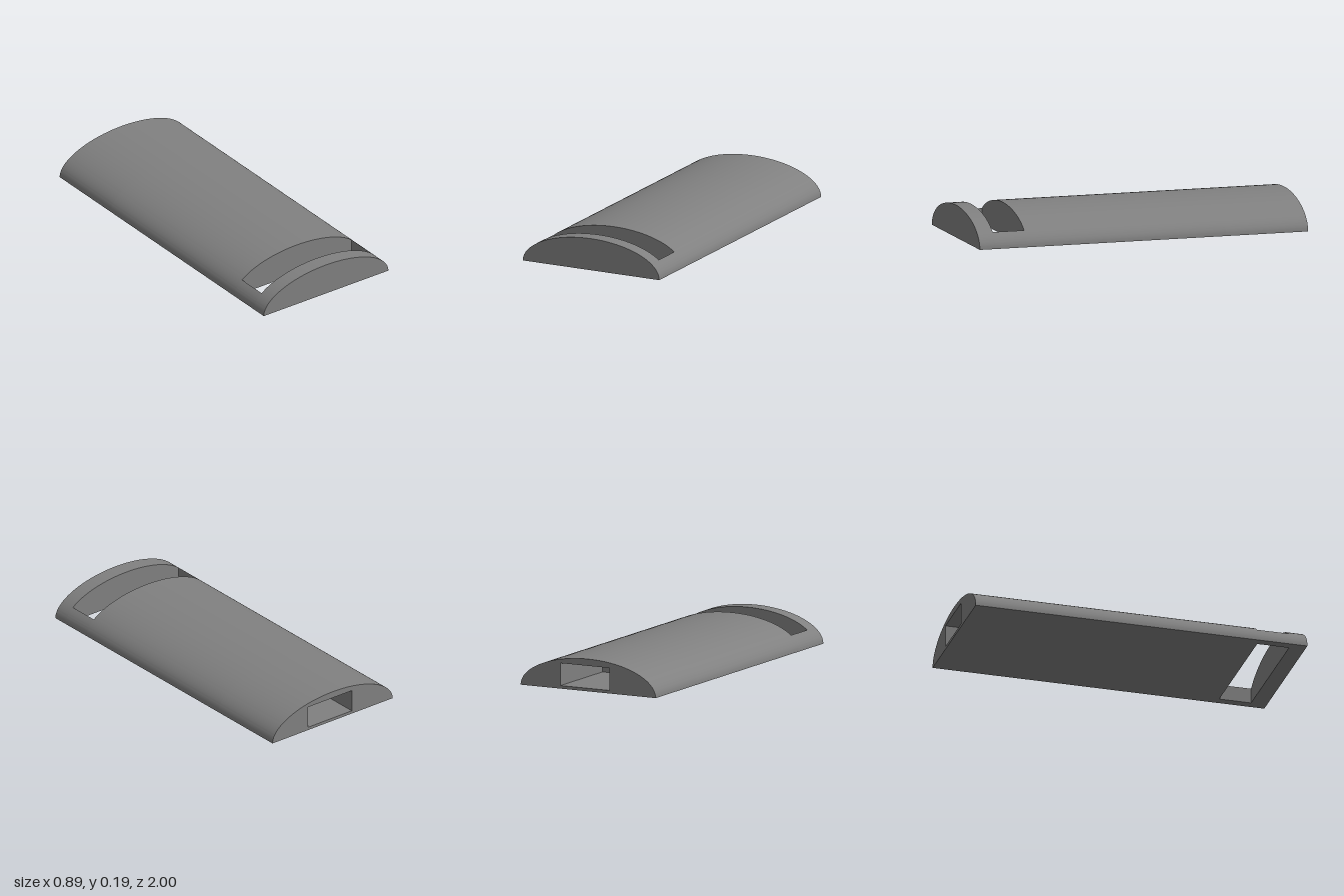
import * as THREE from 'three';
import { toCreasedNormals } from 'three/addons/utils/BufferGeometryUtils.js';

const HALF_W = 0.447, HEIGHT = 0.19;          // half-ellipse section
const SLOT = { x: 0.393, back: 0.713, front: 0.905 };
const SOCKET = { x0: -0.143, x1: 0.183, y0: 0.018, y1: 0.15, depth: 0.5 };

// Points along the domed outline between two angles
function arc(from, to, steps) {
  return Array.from({ length: steps + 1 }, (_, i) => {
    const t = from + (to - from) * i / steps;
    return new THREE.Vector2(HALF_W * Math.cos(t), HEIGHT * Math.sin(t));
  });
}

export function createModel() {
  const group = new THREE.Group();
  group.name = 'slottedDomedBar';
  const grey = new THREE.MeshStandardMaterial({ color: 0x808080 });
  grey.name = 'grey';

  // Runs a cross-section from z0 to z1
  function addSection(name, shape, z0, z1) {
    const geometry = new THREE.ExtrudeGeometry(shape, { depth: z1 - z0, bevelEnabled: false });
    geometry.translate(0, 0, z0);
    const mesh = new THREE.Mesh(toCreasedNormals(geometry, 0.6), grey);
    mesh.name = name;
    group.add(mesh);
  }

  const dome = () => new THREE.Shape(arc(0, Math.PI, 96));

  // Front lip and solid middle
  addSection('frontLip', dome(), SLOT.front, 1);
  addSection('mainBody', dome(), -1 + SOCKET.depth, SLOT.back);

  // Narrow rails either side of the through slot
  const t = Math.acos(SLOT.x / HALF_W);
  addSection('leftRail', new THREE.Shape([...arc(0, t, 16), new THREE.Vector2(SLOT.x, 0)]), SLOT.back, SLOT.front);
  addSection('rightRail', new THREE.Shape([...arc(Math.PI - t, Math.PI, 16), new THREE.Vector2(-SLOT.x, 0)]), SLOT.back, SLOT.front);

  // Back end with a rectangular socket, closed by the main body
  const back = dome();
  const { x0, x1, y0, y1 } = SOCKET;
  back.holes.push(new THREE.Path([
    new THREE.Vector2(x0, y0), new THREE.Vector2(x0, y1),
    new THREE.Vector2(x1, y1), new THREE.Vector2(x1, y0),
  ]));
  addSection('socketEnd', back, -1, -1 + SOCKET.depth);

  return group;
}
